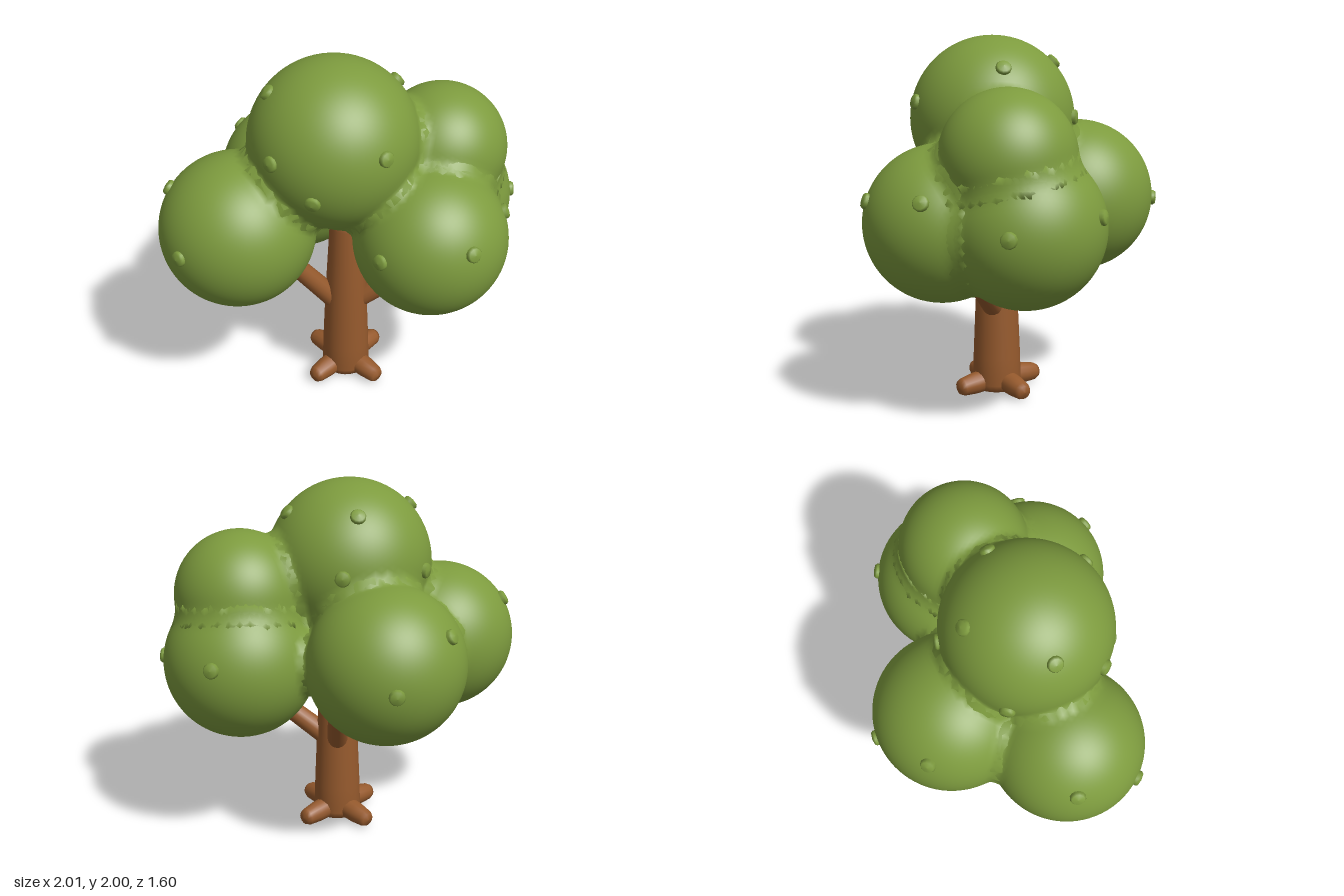
import * as THREE from 'three';
import { mergeVertices } from 'three/addons/utils/BufferGeometryUtils.js';

const V = (x, y, z) => new THREE.Vector3(x, y, z);

// foliage lobes: centre, radius and the knobs growing on each
const LOBES = [
  { name: 'crownTop', c: V(-0.06, 1.545, 0.12), r: 0.455, knobs: [
    [0.12, 1.65, 0.54], [-0.43, 1.6, 0.38], [-0.25, 1.43, 0.52], [-0.4, 1.86, 0.11],
    [0.33, 1.87, 0.05], [-0.05, 1.87, -0.23], [-0.43, 1.54, -0.15], [0.05, 1.56, -0.34]] },
  { name: 'crownRight', c: V(-0.585, 1.085, 0.13), r: 0.42, knobs: [[-0.92, 1.11, 0.39], [-0.9, 1.3, 0.03]] },
  { name: 'crownFront', c: V(0.41, 1.045, 0.375), r: 0.415, knobs: [
    [0.07, 1.1, 0.62], [0.52, 1.18, 0.76], [0.8, 1.22, 0.46]] },
  { name: 'crownLeft', c: V(0.565, 1.05, -0.05), r: 0.42, knobs: [[0.96, 1.07, 0.03], [0.75, 1.14, -0.45]] },
  { name: 'crownUpperLeft', c: V(0.555, 1.4, 0.035), r: 0.355, knobs: [] },
  { name: 'crownBack', c: V(-0.18, 1.095, -0.36), r: 0.43, knobs: [[-0.15, 1.08, -0.79], [-0.46, 1.31, -0.6]] },
  { name: 'crownCore', c: V(0.0, 1.25, 0.06), r: 0.26, knobs: [] },
];

// softly blended distance to all the lobes
function field(p) {
  const k = 0.06;
  let d = 10;
  for (const { c, r } of LOBES) {
    const e = p.distanceTo(c) - r;
    const h = Math.max(k - Math.abs(d - e), 0) / k;
    d = Math.min(d, e) - h * h * k * 0.25;
  }
  return d;
}

// a sphere whose skin is pushed outwards to the blended surface
function lobeGeometry({ c, r }) {
  let g = new THREE.IcosahedronGeometry(1, 14);
  g.deleteAttribute('normal');
  g.deleteAttribute('uv');
  g = mergeVertices(g);
  const pos = g.attributes.position;
  const dir = V(0, 0, 0), p = V(0, 0, 0);
  for (let i = 0; i < pos.count; i++) {
    dir.fromBufferAttribute(pos, i).normalize();
    p.copy(c).addScaledVector(dir, r);
    if (field(p) > -0.05) {
      for (let n = 0, t = r; n < 8 && t < r + 0.06; n++) {
        t -= field(p);
        p.copy(c).addScaledVector(dir, t);
      }
    }
    pos.setXYZ(i, p.x, p.y, p.z);
  }
  g.computeVertexNormals();
  return g;
}

export function createModel() {
  const tree = new THREE.Group();
  tree.name = 'tree';
  const leaf = new THREE.MeshStandardMaterial({ name: 'leafGreen', color: 0x7d9b3e });
  const bark = new THREE.MeshStandardMaterial({ name: 'barkBrown', color: 0x965a2d });
  const UP = V(0, 1, 0);

  const add = (geo, mat, name) => {
    const m = new THREE.Mesh(geo, mat);
    m.name = name;
    tree.add(m);
    return m;
  };

  // tapered limb from a to b
  const limb = (a, b, ra, rb, name) => {
    const d = b.clone().sub(a);
    const m = add(new THREE.CylinderGeometry(rb, ra, d.length(), 16), bark, name);
    m.position.copy(a).addScaledVector(d, 0.5);
    m.quaternion.setFromUnitVectors(UP, d.normalize());
  };

  // trunk
  const profile = [[0, 0.012], [0.125, 0.012], [0.137, 0.05], [0.133, 0.2], [0.12, 0.5], [0.112, 0.65], [0.092, 1.0], [0.08, 1.1], [0, 1.1]];
  const trunk = add(new THREE.LatheGeometry(profile.map(([x, y]) => new THREE.Vector2(x, y)), 24), bark, 'trunk');
  trunk.position.set(0.013, 0, 0.1);

  // branches
  limb(V(0.03, 0.46, 0.1), V(0.42, 0.76, 0.22), 0.062, 0.052, 'branchLeft');
  limb(V(0.0, 0.43, 0.09), V(-0.33, 0.85, 0.14), 0.062, 0.052, 'branchRight');
  limb(V(0.015, 0.44, 0.08), V(0.06, 0.83, -0.24), 0.062, 0.052, 'branchBack');

  // four blunt roots, sloping down away from the trunk
  const rootShape = [[0.062, 0], [0.06, 0.08], [0.05, 0.155], [0.038, 0.178], [0, 0.185]];
  const rootGeo = new THREE.LatheGeometry(rootShape.map(([x, y]) => new THREE.Vector2(x, y)), 14);
  for (let i = 0; i < 4; i++) {
    const a = Math.atan2(0.83, 0.55) + i * Math.PI / 2;
    const out = V(Math.cos(a), 0, Math.sin(a));
    const root = add(rootGeo, bark, 'root');
    root.position.set(0.013, 0.062, 0.09).addScaledVector(out, 0.085);
    root.quaternion.setFromUnitVectors(UP, out.setY(-0.09).normalize());
  }

  // foliage and its knobs
  const knobShape = [[0.042, -0.04], [0.042, 0.01], [0.034, 0.021], [0, 0.026]];
  const knobGeo = new THREE.LatheGeometry(knobShape.map(([x, y]) => new THREE.Vector2(x, y)), 12);
  for (const lobe of LOBES) {
    add(lobeGeometry(lobe), leaf, lobe.name);
    for (const k of lobe.knobs) {
      const dir = V(...k).sub(lobe.c).normalize();
      const knob = add(knobGeo, leaf, 'knob');
      knob.position.copy(lobe.c).addScaledVector(dir, lobe.r);
      knob.quaternion.setFromUnitVectors(UP, dir);
    }
  }
  return tree;
}
